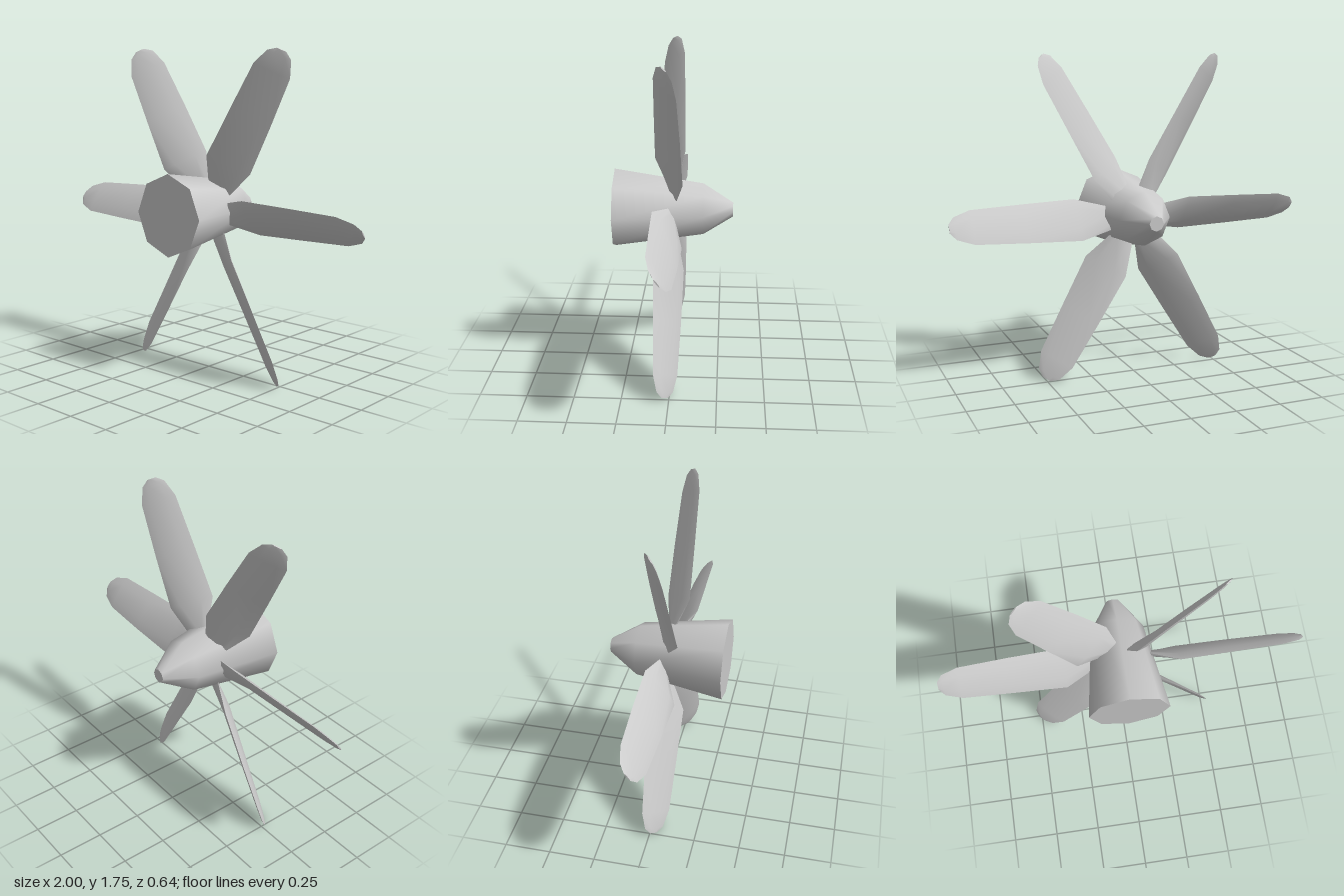
import * as THREE from 'three';
import { toCreasedNormals } from 'three/addons/utils/BufferGeometryUtils.js';

const material = new THREE.MeshStandardMaterial({ color: 0xcccccc });

// Blade along +x, built from lens-shaped sections
function bladeGeometry() {
  // radius, half chord in y, half chord in z, centre z, half thickness
  const stations = [
    [0.13, 0.06, 0.015, 0.0, 0.012],
    [0.31, 0.1, 0.077, 0.02, 0.017],
    [0.6, 0.091, 0.07, 0.02, 0.014],
    [0.88, 0.08, 0.06, 0.022, 0.011],
    [0.97, 0.052, 0.04, 0.022, 0.008],
    [1.0, 0.02, 0.015, 0.022, 0.004],
  ];
  const sides = 6;
  const positions = [];
  const index = [];
  for (const [r, hy, hz, cz, t] of stations) {
    const len = Math.hypot(hy, hz);
    for (let j = 0; j < sides; j++) {
      const a = (j / sides) * Math.PI * 2;
      const c = Math.cos(a);
      const s = Math.sin(a) * t / len;
      positions.push(r, c * hy - s * hz, cz + c * hz + s * hy);
    }
  }
  const last = (stations.length - 1) * sides;
  for (let i = 0; i < stations.length - 1; i++) {
    for (let j = 0; j < sides; j++) {
      const a = i * sides + j;
      const b = i * sides + (j + 1) % sides;
      index.push(a, b, a + sides, b, b + sides, a + sides);
    }
  }
  // root and tip caps
  for (let j = 1; j < sides - 1; j++) {
    index.push(0, j + 1, j);
    index.push(last, last + j, last + j + 1);
  }
  const geometry = new THREE.BufferGeometry();
  geometry.setAttribute('position', new THREE.Float32BufferAttribute(positions, 3));
  geometry.setIndex(index);
  return toCreasedNormals(geometry, 0.7);
}

// Eight-sided hub tapering to a blunt nose at the back
function hubGeometry() {
  const profile = [[0, -0.32], [0.04, -0.32], [0.145, -0.16], [0.22, 0.32], [0, 0.32]];
  const geometry = new THREE.LatheGeometry(profile.map(([r, z]) => new THREE.Vector2(r, z)), 8);
  geometry.rotateX(Math.PI / 2);
  return toCreasedNormals(geometry, 0.95);
}

export function createModel() {
  const model = new THREE.Group();
  model.name = 'propeller';

  const hub = new THREE.Mesh(hubGeometry(), material);
  hub.name = 'hub';
  hub.position.y = 0.897;
  model.add(hub);

  // Six pitched blades
  const blades = new THREE.Group();
  blades.name = 'blades';
  blades.position.y = 0.882;
  const geometry = bladeGeometry();
  for (let i = 0; i < 6; i++) {
    const blade = new THREE.Mesh(geometry, material);
    blade.name = 'blade' + (i + 1);
    blade.rotation.z = (i * Math.PI) / 3;
    blades.add(blade);
  }
  model.add(blades);
  return model;
}
